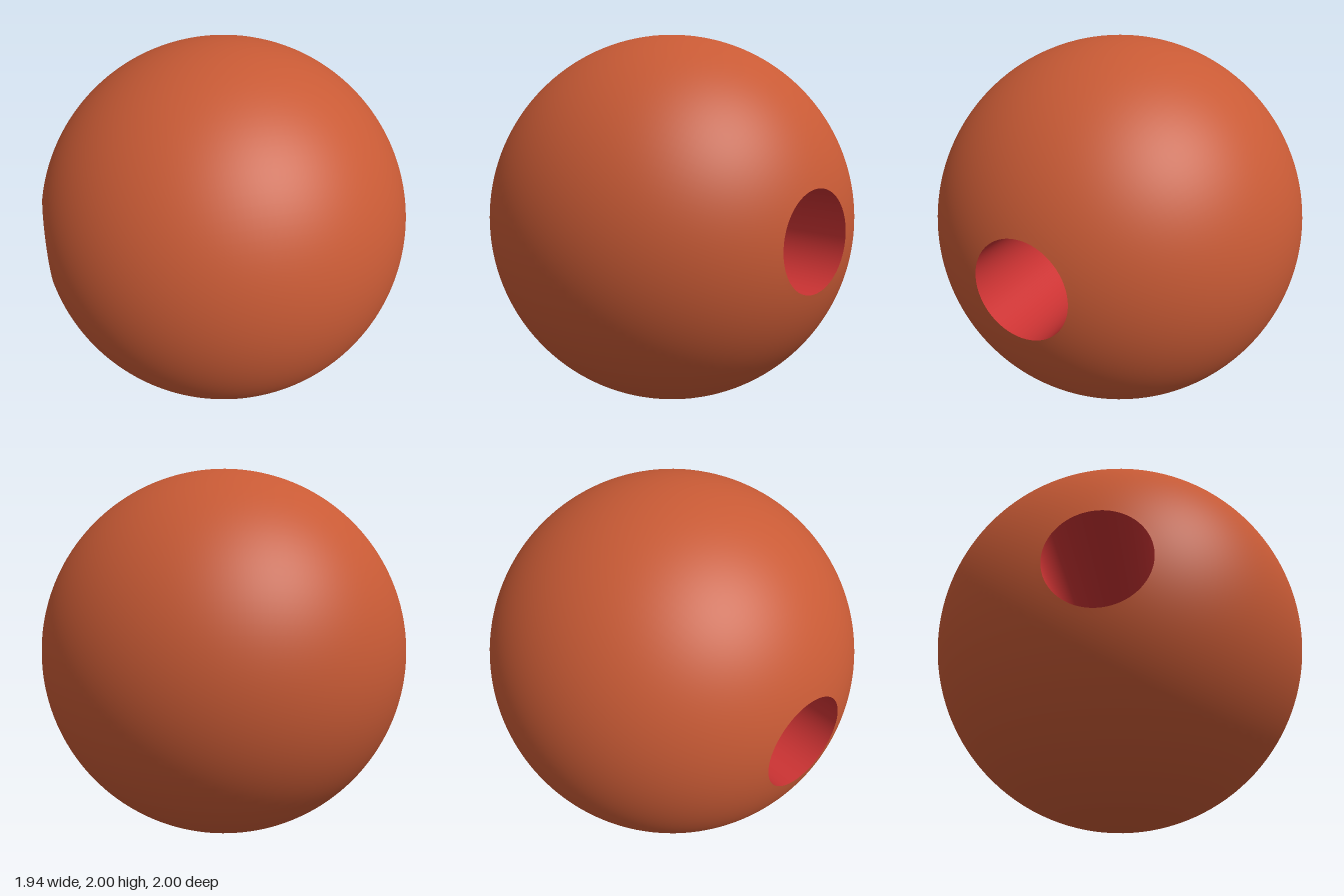
import * as THREE from 'three';

const RADIUS = 1;
const BORE = 0.25;
const SEGMENTS = 128;

// Revolves a profile and lays its axis along x
function turned(name, points, color) {
  const geometry = new THREE.LatheGeometry(points, SEGMENTS);
  geometry.rotateZ(-Math.PI / 2);
  const mesh = new THREE.Mesh(geometry, new THREE.MeshStandardMaterial({ color }));
  mesh.name = name;
  mesh.position.y = RADIUS;
  return mesh;
}

export function createModel() {
  const group = new THREE.Group();
  group.name = 'bead';

  // Round outer shell, cut off where the hole opens
  const limit = Math.acos(BORE / RADIUS);
  const arc = [];
  const steps = 80;
  for (let i = 0; i <= steps; i++) {
    const a = -limit + (2 * limit * i) / steps;
    arc.push(new THREE.Vector2(RADIUS * Math.cos(a), RADIUS * Math.sin(a)));
  }
  group.add(turned('shell', arc, 0xc85a35));

  // Straight hole through the middle, its wall facing inward
  const half = RADIUS * Math.sin(limit);
  const wall = [new THREE.Vector2(BORE, half), new THREE.Vector2(BORE, -half)];
  group.add(turned('bore', wall, 0xcc3333));

  return group;
}
